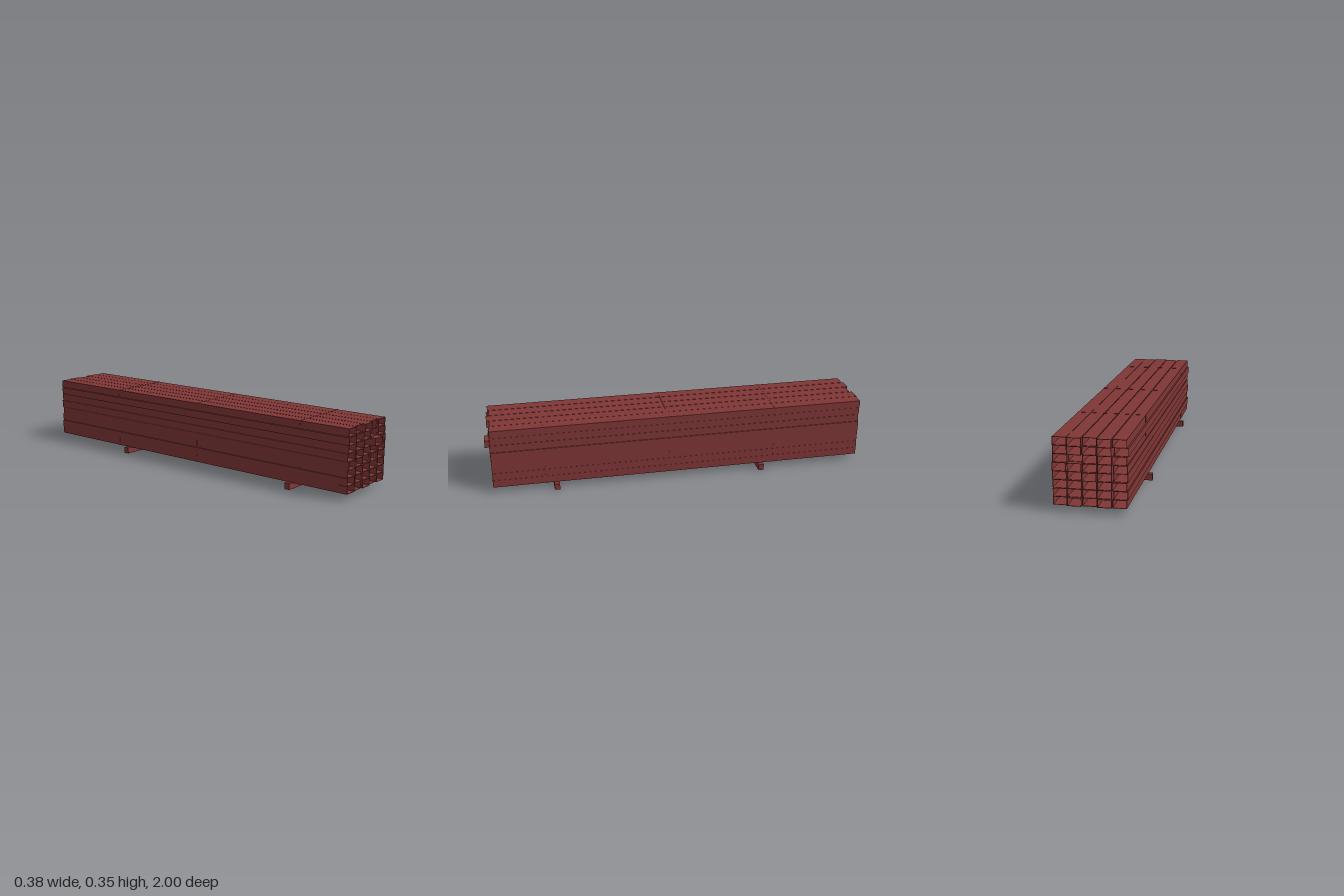
import * as THREE from 'three';

const rect = (PathType, w, h) => {
  const p = new PathType();
  p.moveTo(-w / 2, -h / 2);
  p.lineTo(w / 2, -h / 2);
  p.lineTo(w / 2, h / 2);
  p.lineTo(-w / 2, h / 2);
  p.closePath();
  return p;
};

// Rectangular hollow section running along z, centred on the origin
function hollowSection(w, h, wall, length) {
  const shape = rect(THREE.Shape, w, h);
  shape.holes.push(rect(THREE.Path, w - 2 * wall, h - 2 * wall));
  const g = new THREE.ExtrudeGeometry(shape, { depth: length, bevelEnabled: false });
  return g.translate(0, 0, -length / 2);
}

export function createModel() {
  const paint = new THREE.MeshStandardMaterial({ color: 0x803636 });
  paint.name = 'red oxide';
  const model = new THREE.Group();
  model.name = 'tubeBundle';
  const add = (parent, name, geometry, x, y, z) => {
    const mesh = new THREE.Mesh(geometry, paint);
    mesh.name = name;
    mesh.position.set(x, y, z);
    parent.add(mesh);
  };

  // Stacked tubes: 5 columns, 8 rows, the outer ones slightly out of line
  const tubes = new THREE.Group();
  tubes.name = 'tubes';
  model.add(tubes);
  const tubeGeometry = hollowSection(0.0645, 0.0387, 0.0018, 1.965);
  const columns = [-0.1375, -0.0695, -0.0015, 0.0665, 0.133];
  const leftShift = [0, -0.005, 0, -0.004, -0.003, 0, -0.007, 0];
  const rightShift = [0, 0, 0, 0.002, 0.004, 0.001, 0, 0];
  // Lengthwise slip of each tube, per row from the bottom
  const slip = [
    [0, -0.006, 0.002, -0.008, 0],
    [0.002, 0, -0.002, 0, -0.001],
    [0, 0.001, 0, -0.002, 0],
    [0.008, 0, -0.008, 0.002, 0],
    [0, 0.002, 0, -0.002, 0],
    [0.002, 0, 0.004, 0.025, 0.002],
    [0.008, -0.004, 0, -0.008, 0],
    [0, -0.008, 0.008, -0.008, -0.002],
  ];
  slip.forEach((rowSlip, row) => rowSlip.forEach((dz, col) => {
    const dx = col === 0 ? leftShift[row] : col === 4 ? rightShift[row] : 0;
    add(tubes, 'tube', tubeGeometry, columns[col] + dx, 0.0517 + row * 0.0394, -0.007 + dz);
  }));

  // Thin straps hugging the bundle
  const strapGeometry = hollowSection(0.3365, 0.3165, 0.001, 0.01);
  for (const z of [-0.52, 0.05, 0.7]) add(model, 'strap', strapGeometry, -0.002, 0.1895, z);

  // Cross bearers underneath
  const bearerGeometry = new THREE.BoxGeometry(0.384, 0.032, 0.028);
  for (const z of [-0.445, 0.65]) add(model, 'bearer', bearerGeometry, 0, 0.016, z);

  return model;
}
